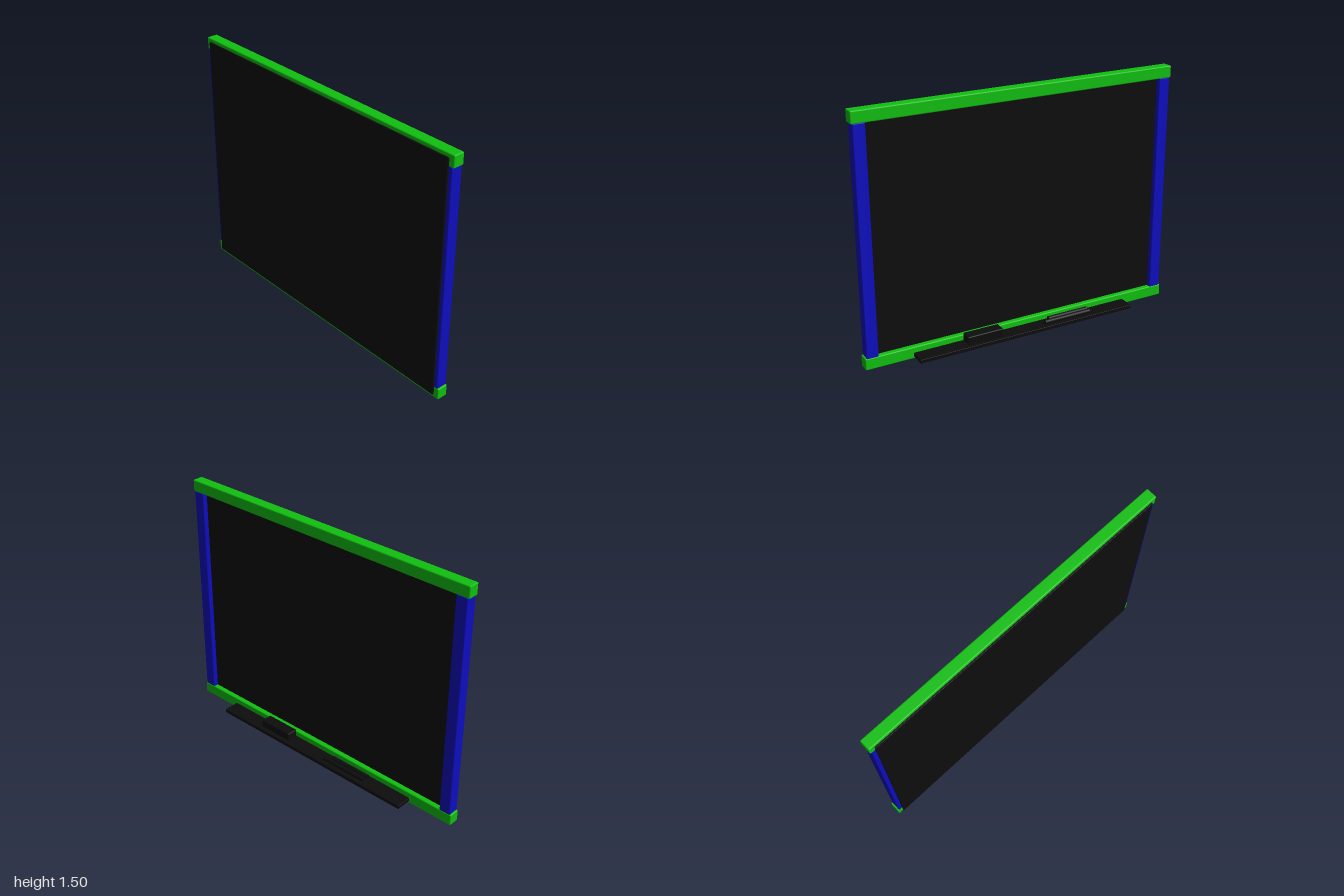
import * as THREE from 'three';
import { RoundedBoxGeometry } from 'three/addons/geometries/RoundedBoxGeometry.js';

export function createModel() {
  const group = new THREE.Group();
  const material = (name, color) => {
    const m = new THREE.MeshStandardMaterial({ color });
    m.name = name;
    return m;
  };
  const green = material('green rail', 0x10c010);
  const blue = material('blue stile', 0x0d0dc0);
  const black = material('black board', 0x0d0d0d);

  // Softened box given by its min and max along each axis
  function box(name, mat, [x0, x1], [y0, y1], [z0, z1], radius = 0.004) {
    const geometry = new RoundedBoxGeometry(x1 - x0, y1 - y0, z1 - z0, 2, radius);
    const mesh = new THREE.Mesh(geometry, mat);
    mesh.name = name;
    mesh.position.set((x0 + x1) / 2, (y0 + y1) / 2, (z0 + z1) / 2);
    group.add(mesh);
  }

  // Frame
  const depth = [-0.08, -0.012];
  box('bottomRail', green, depth, [0, 0.072], [-1, 1], 0.007);
  box('topRail', green, depth, [1.425, 1.497], [-1, 1], 0.007);
  box('frontStile', blue, depth, [0.07, 1.427], [0.92, 0.99]);
  box('backStile', blue, depth, [0.07, 1.427], [-0.99, -0.92]);

  // Writing panel, recessed at the front and proud at the back
  box('boardPanel', black, [-0.09, -0.042], [0.022, 1.475], [-0.967, 0.967], 0.002);

  // Tray with eraser
  box('tray', black, [-0.013, 0.086], [0.014, 0.037], [-0.71, 0.71], 0.002);
  box('eraser', black, [-0.01, 0.061], [0.036, 0.087], [0.172, 0.4], 0.006);

  // Chalk sticks: x, centre z, length
  for (const [x, z, length] of [[0.018, -0.29, 0.27], [0.05, -0.27, 0.31]]) {
    const chalk = new THREE.Mesh(new THREE.CylinderGeometry(0.014, 0.014, length, 16), black);
    chalk.name = 'chalk';
    chalk.rotation.x = Math.PI / 2;
    chalk.position.set(x, 0.051, z);
    group.add(chalk);
  }
  return group;
}
